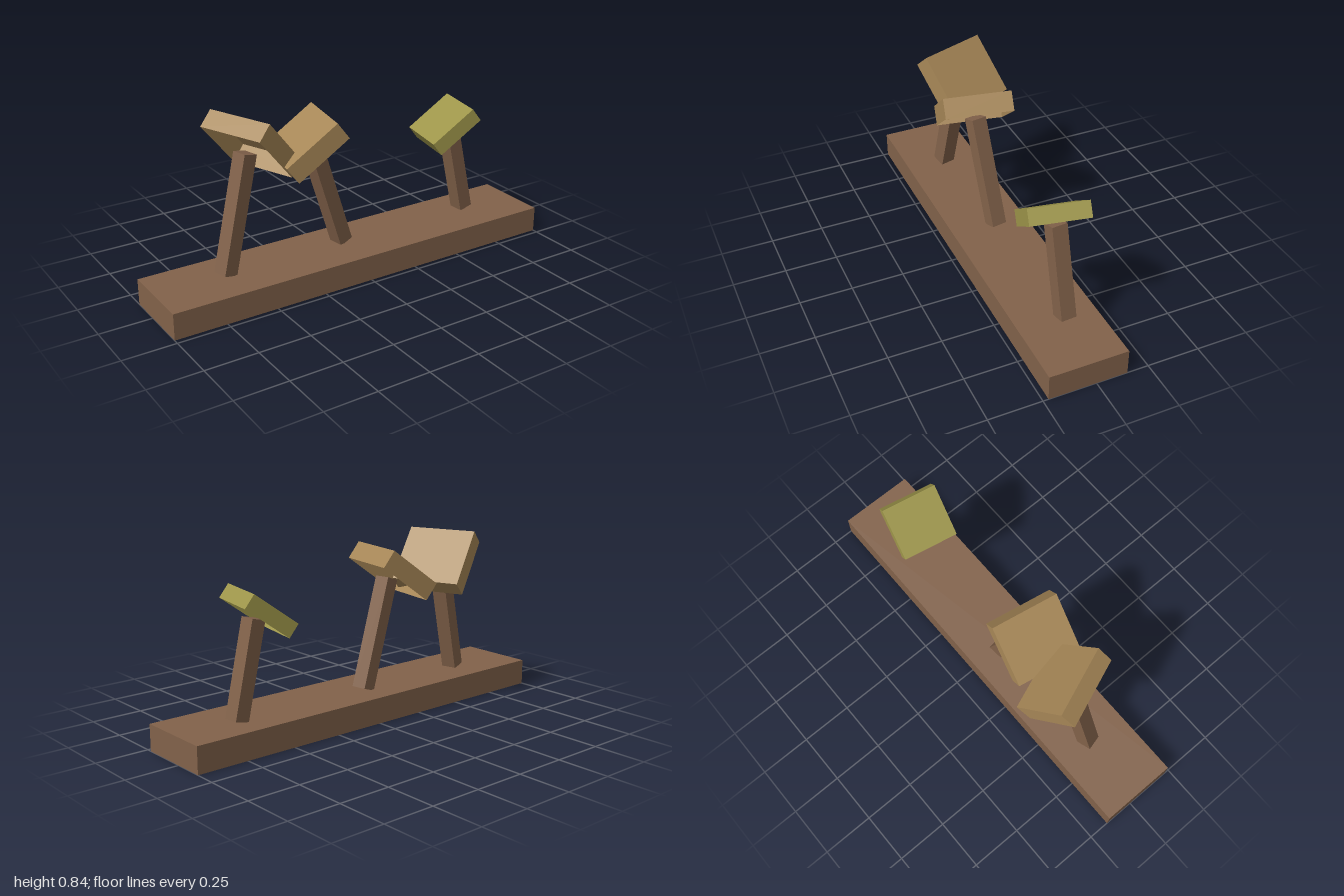
import * as THREE from 'three';

const mat = (name, color) => {
  const m = new THREE.MeshStandardMaterial({ color, side: THREE.DoubleSide });
  m.name = name;
  return m;
};

// Thin-walled box without its bottom face
function shell(name, size, position, yaw, tilt, material) {
  const g = new THREE.BoxGeometry(...size);
  const index = Array.from(g.index.array);
  index.splice(18, 6);
  g.setIndex(index);
  g.clearGroups();
  const mesh = new THREE.Mesh(g, material);
  mesh.name = name;
  mesh.position.set(...position);
  mesh.rotation.set(0, yaw, tilt);
  return mesh;
}

// Post leaning up from a foot point on the base
function post(name, foot, yaw, tilt, length, material) {
  const mesh = shell(name, [0.073, length, 0.074], foot, yaw, tilt, material);
  mesh.geometry.translate(0, length / 2, 0);
  return mesh;
}

export function createModel() {
  const group = new THREE.Group();
  group.name = 'tiltedBoxesOnPosts';
  const wood = mat('brown wood', 0x82624a);
  const tan = mat('tan wood', 0xa78757);
  const olive = mat('olive green', 0x9e964a);

  // Base plank, hollow underneath
  group.add(shell('base', [2, 0.125, 0.373], [0, 0.0625, 0.038], 0, 0, wood));

  // Leaning posts
  group.add(
    post('rightPost', [-0.653, 0.13, 0.026], 0.25, -0.258, 0.555, wood),
    post('middlePost', [-0.028, 0.13, 0.005], 0.16, 0.33, 0.538, wood),
    post('leftPost', [0.7, 0.13, 0.001], 0.07, 0.236, 0.45, wood),
  );

  // Tilted open boxes on the posts
  group.add(
    shell('rightBox', [0.304, 0.092, 0.337], [-0.479, 0.699, -0.02], 0.365, -0.83, tan),
    shell('middleBox', [0.296, 0.094, 0.321], [-0.232, 0.671, 0.028], -0.18, 0.64, tan),
    shell('leftBox', [0.253, 0.074, 0.27], [0.568, 0.597, 0.008], -0.19, 0.635, olive),
  );
  return group;
}
